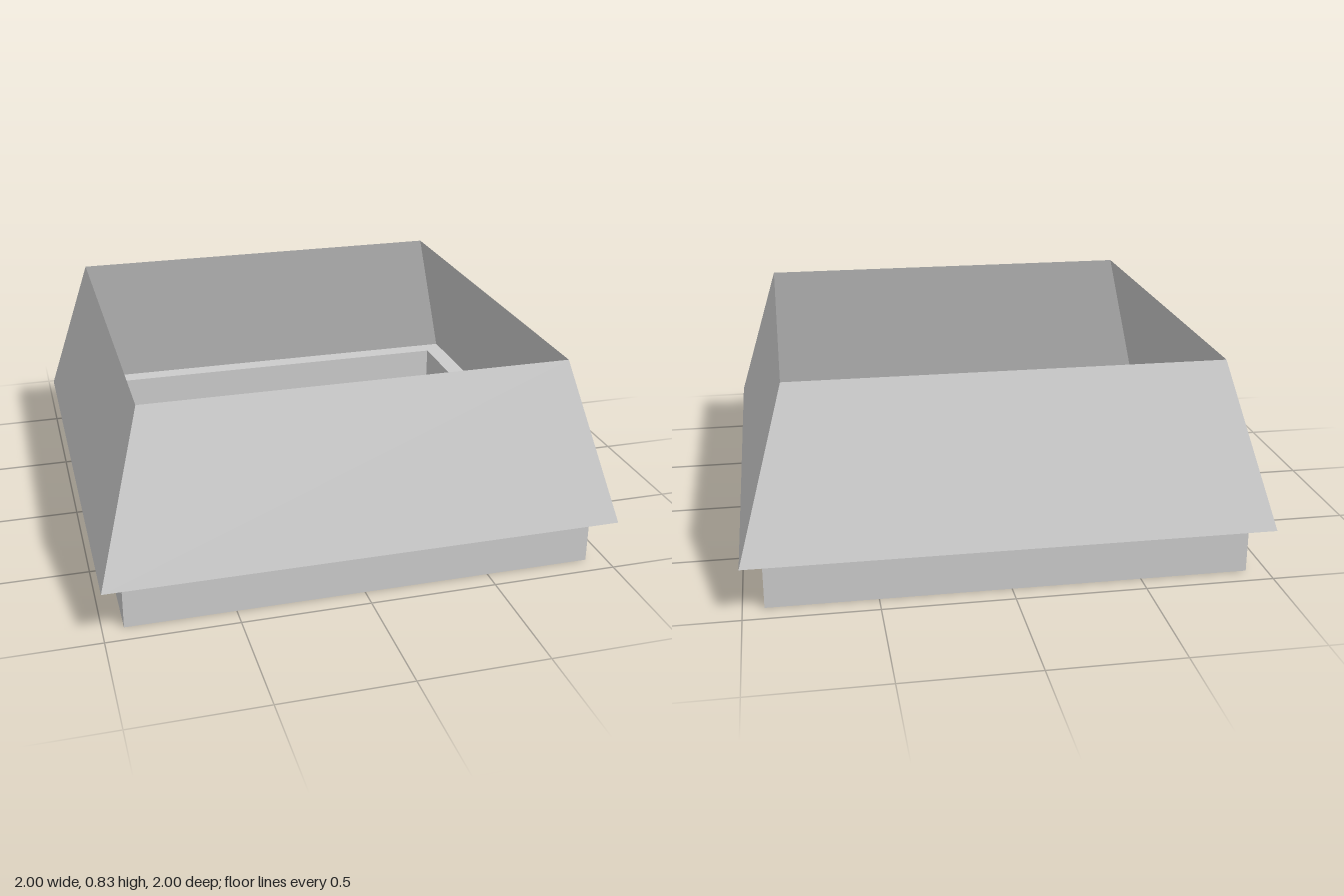
import * as THREE from 'three';

const LOW = 0.075;   // height of the first terrace
const HIGH = 0.13;   // height of the towers and bridges

const material = new THREE.MeshStandardMaterial({
  color: 0xcccccc, flatShading: true, side: THREE.DoubleSide,
});

function add(parent, name, geometry) {
  const mesh = new THREE.Mesh(geometry, material);
  mesh.name = name;
  parent.add(mesh);
  return mesh;
}

// Outline given as [x, z] pairs
const outline = (points) => points.map(([x, z]) => new THREE.Vector2(x, -z));

// Horizontal slab between two heights
function slab(points, y0, y1, hole) {
  const shape = new THREE.Shape(outline(points));
  if (hole) shape.holes.push(new THREE.Path(outline(hole)));
  return new THREE.ExtrudeGeometry(shape, { depth: y1 - y0, bevelEnabled: false })
    .rotateX(-Math.PI / 2).translate(0, y0, 0);
}

// Ramp rising along x from xLow to xHigh, between z0 and z1
function ramp(xLow, xHigh, y0, y1, z0, z1) {
  const profile = new THREE.Shape([
    new THREE.Vector2(xLow, y0), new THREE.Vector2(xHigh, y0), new THREE.Vector2(xHigh, y1),
  ]);
  return new THREE.ExtrudeGeometry(profile, { depth: z1 - z0, bevelEnabled: false })
    .translate(0, 0, z0);
}

// Open four-sided wall, given half widths at bottom and top
function squareWall(bottom, top, y0, y1) {
  return new THREE.CylinderGeometry(top * Math.SQRT2, bottom * Math.SQRT2, y1 - y0, 4, 1, true)
    .rotateY(Math.PI / 4).translate(0, (y0 + y1) / 2, 0);
}

// Repeats a list of [x, z] points around the four sides
function fourfold(points) {
  const all = [];
  let side = points;
  for (let i = 0; i < 4; i++) {
    all.push(...side);
    side = side.map(([x, z]) => [-z, x]);
  }
  return all;
}

export function createModel() {
  const model = new THREE.Group();
  model.name = 'arena';

  // Thin outer shell: base tray, ledge and tapered surround
  add(model, 'baseFloor', new THREE.PlaneGeometry(1.84, 1.84).rotateX(-Math.PI / 2));
  add(model, 'baseWall', squareWall(0.92, 0.92, 0, 0.2));
  const ledge = new THREE.Shape(outline(fourfold([[-1, -1]])));
  ledge.holes.push(new THREE.Path(outline(fourfold([[-0.92, -0.92]]))));
  add(model, 'ledge', new THREE.ShapeGeometry(ledge).rotateX(-Math.PI / 2).translate(0, 0.2, 0));
  add(model, 'taperedSurround', squareWall(1, 0.82, 0.2, 0.83));

  // Terraced floor inside the tray
  const terraces = new THREE.Group();
  terraces.name = 'terraces';
  terraces.position.set(-0.008, 0, -0.008);
  model.add(terraces);

  // Lower terrace with four channels and a sunken centre
  const terraceSide = [
    [-0.65, -0.65], [-0.41, -0.65], [-0.41, -0.765], [-0.14, -0.765], [-0.14, -0.24],
    [0.14, -0.24], [0.14, -0.765], [0.41, -0.765], [0.41, -0.65],
  ];
  const centre = fourfold([[-0.14, -0.14], [-0.14, -0.19], [0.14, -0.19]]);
  add(terraces, 'lowerTerrace', slab(fourfold(terraceSide), 0, LOW, centre));

  // One side of ramps, tower and bridge, turned four times
  for (let i = 0; i < 4; i++) {
    const side = new THREE.Group();
    side.name = 'terraceSide';
    side.rotation.y = i * Math.PI / 2;
    terraces.add(side);

    for (const s of [-1, 1]) {
      add(side, 'cornerRamp', ramp(s * 0.65, s * 0.41, 0, LOW, -0.765, -0.65));
    }
    add(side, 'tower', slab([
      [-0.585, -0.585], [-0.272, -0.585], [-0.272, -0.367],
      [-0.44, -0.367], [-0.44, -0.272], [-0.585, -0.272],
    ], LOW, HIGH));
    add(side, 'towerRamp', ramp(-0.272, -0.44, LOW, HIGH, -0.367, -0.272));
    add(side, 'bridge', slab([
      [-0.272, -0.553], [0.272, -0.553], [0.272, -0.48], [-0.272, -0.48],
    ], LOW, HIGH));
  }
  return model;
}
